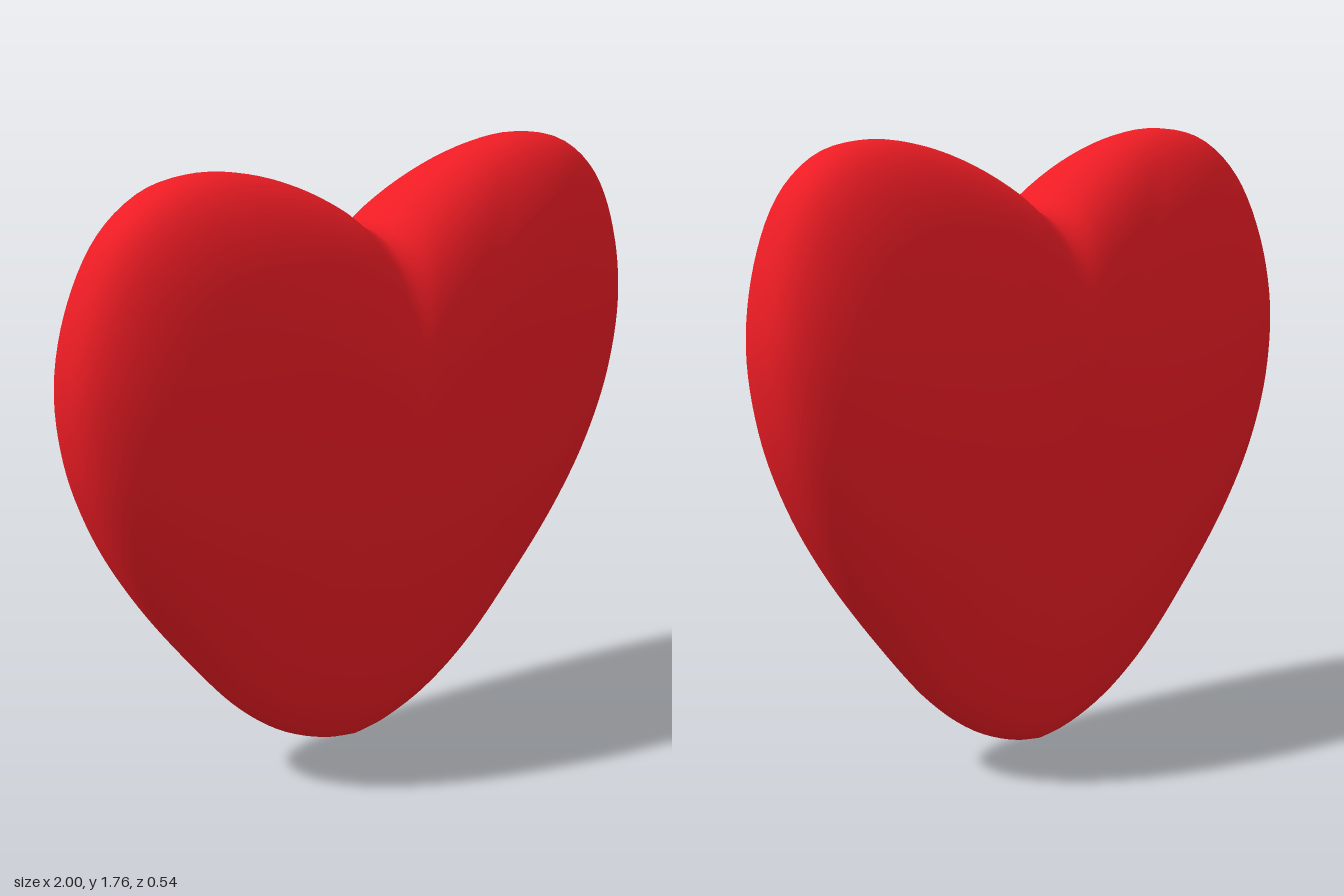
import * as THREE from 'three';

// Right half of the heart outline, from the cleft round to the tip
const HALF = [
  [0, 1.54], [0.05, 1.562], [0.13, 1.62], [0.27, 1.69], [0.42, 1.737], [0.58, 1.755],
  [0.74, 1.725], [0.87, 1.625], [0.96, 1.45], [1, 1.23], [0.97, 1.0], [0.89, 0.79],
  [0.77, 0.59], [0.6, 0.375], [0.42, 0.185], [0.26, 0.075], [0.1, 0.015], [0, 0],
];
const CENTRE_Y = 1.02;
const HALF_DEPTH = 0.265;
const RINGS = 64; // front pole to back pole
const STEPS = 80; // samples per outline half

function outline() {
  const curve = new THREE.CatmullRomCurve3(HALF.map(([x, y]) => new THREE.Vector3(x, y, 0)));
  const half = curve.getSpacedPoints(STEPS);
  const mirrored = half.slice(1, -1).reverse().map((p) => new THREE.Vector3(-p.x, p.y, 0));
  return [...half, ...mirrored];
}

// Point on the inflated body; phi runs from 0 (front pole) to PI (back pole)
function bodyPoint(rim, phi) {
  const s = Math.sin(phi);
  const dx = rim.x, dy = rim.y - CENTRE_Y;
  const steep = (dy * dy) / (dx * dx + dy * dy);
  // Full, rounded sides; slimmer lobes and a tapering tip
  const power = THREE.MathUtils.lerp(2.6, dy < 0 ? 1.68 : 2.1, steep);
  const dome = Math.pow(Math.max(0, 1 - Math.pow(s, power)), 1 / power);
  // The cleft fades out towards the middle of each face
  const fill = 0.1 * Math.max(0, 1 - (rim.x / 0.5) ** 2) * (dy > 0 ? 1 - s * s : 0);
  // The middle surface leans back at the tip and forward at the top
  const lean = -0.05 + 0.065 * Math.pow(Math.max(0, rim.y) / 1.755, 2.5);
  const z = lean * (s * s * 1.1) / (s + 0.1) + Math.sign(Math.cos(phi)) * HALF_DEPTH * dome;
  return [dx * s, CENTRE_Y + (dy + fill) * s, z];
}

function heartGeometry() {
  const rim = outline();
  const n = rim.length;
  const positions = [0, CENTRE_Y, HALF_DEPTH];
  const index = [];
  for (let i = 1; i < RINGS; i++) {
    for (const p of rim) positions.push(...bodyPoint(p, (Math.PI * i) / RINGS));
  }
  const back = positions.length / 3;
  positions.push(0, CENTRE_Y, -HALF_DEPTH);

  const at = (i, j) => 1 + (i - 1) * n + (j % n);
  for (let j = 0; j < n; j++) {
    index.push(0, at(1, j + 1), at(1, j));
    for (let i = 1; i < RINGS - 1; i++) {
      const a = at(i, j), b = at(i, j + 1), c = at(i + 1, j), d = at(i + 1, j + 1);
      index.push(a, b, d, a, d, c);
    }
    index.push(back, at(RINGS - 1, j), at(RINGS - 1, j + 1));
  }

  const geometry = new THREE.BufferGeometry();
  geometry.setAttribute('position', new THREE.Float32BufferAttribute(positions, 3));
  geometry.setIndex(index);
  geometry.computeVertexNormals();
  return geometry;
}

export function createModel() {
  const group = new THREE.Group();
  group.name = 'heart';
  const body = new THREE.Mesh(heartGeometry(), new THREE.MeshStandardMaterial({ color: 0xed1c24 }));
  body.name = 'heartBody';
  group.add(body);
  return group;
}
